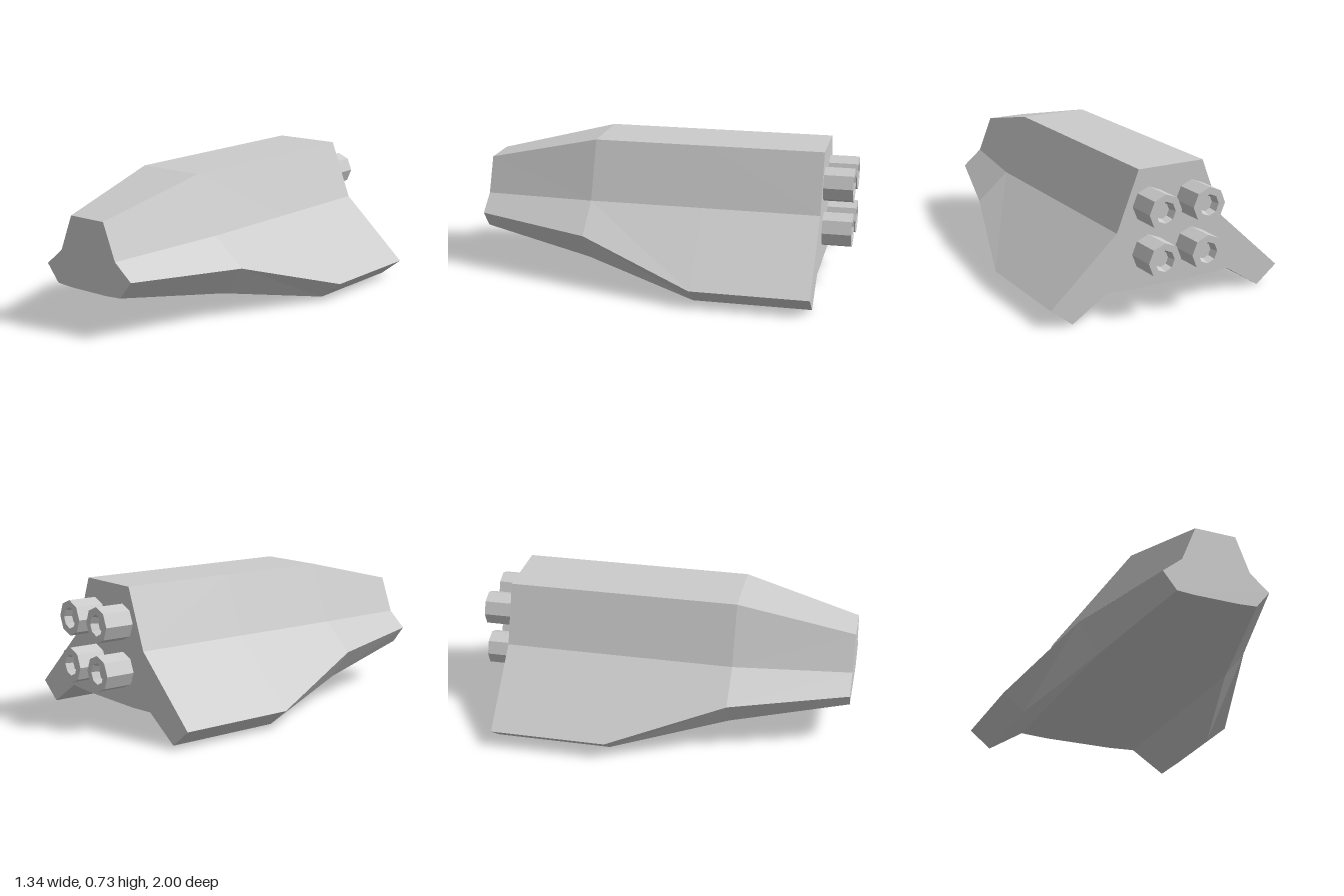
import * as THREE from 'three';

const grey = new THREE.MeshStandardMaterial({ color: 0xcccccc, flatShading: true });
const BACK = -0.845;

// Half sections from nose to stern: roof, shoulder, wing tip, wing underside, root, belly
const sections = [
  { z: 1, half: [[0.11, 0.583], [0.185, 0.395], [0.288, 0.309], [0.215, 0.218], [0.215, 0.218], [0.12, 0.212]] },
  { z: 0.38, half: [[0.185, 0.732], [0.305, 0.425], [0.475, 0.28], [0.358, 0.127], [0.358, 0.127], [0.2, 0.119]] },
  { z: -0.23, half: [[0.185, 0.732], [0.305, 0.425], [0.668, 0.095], [0.55, 0.002], [0.358, 0.127], [0.2, 0.119]] },
  { z: BACK, half: [[0.185, 0.732], [0.305, 0.425], [0.668, 0.095], [0.55, 0.002], [0.358, 0.127], [0.2, 0.119]] },
];

// Mirrors a half section into a closed outline
const outline = (half) => [...half, ...half.map(([x, y]) => [-x, y]).reverse()];

function hullGeometry() {
  const rings = sections.map((s) => outline(s.half).map(([x, y]) => [x, y, s.z]));
  const positions = [];
  for (let k = 0; k < rings.length - 1; k++) {
    const n = rings[k].length;
    for (let i = 0; i < n; i++) {
      const j = (i + 1) % n;
      const a = rings[k][i], b = rings[k][j], c = rings[k + 1][j], d = rings[k + 1][i];
      // Split the quads the same way on both sides
      const tris = i < n / 2 ? [a, b, c, a, c, d] : [a, b, d, b, c, d];
      positions.push(...tris.flat());
    }
  }
  const g = new THREE.BufferGeometry();
  g.setAttribute('position', new THREE.Float32BufferAttribute(positions, 3));
  g.computeVertexNormals();
  return g;
}

// Flat end plate filling a section
function endPlate({ z, half }, name) {
  const unique = half.filter((p, i) => i === 0 || p[0] !== half[i - 1][0] || p[1] !== half[i - 1][1]);
  const shape = new THREE.Shape(outline(unique).map(([x, y]) => new THREE.Vector2(x, y)));
  const mesh = new THREE.Mesh(new THREE.ShapeGeometry(shape), grey);
  mesh.name = name;
  mesh.position.z = z;
  if (z < 0) mesh.rotation.y = Math.PI;
  return mesh;
}

export function createModel() {
  const model = new THREE.Group();
  model.name = 'spaceship';

  const hull = new THREE.Mesh(hullGeometry(), grey);
  hull.name = 'hull';
  model.add(hull, endPlate(sections[0], 'nosePlate'), endPlate(sections[3], 'sternPlate'));

  // Four octagonal thrusters with recessed openings
  const profile = [[0.092, 0], [0.092, 0.155], [0.055, 0.155], [0.042, 0.115], [0, 0.115]]
    .map(([r, h]) => new THREE.Vector2(r, h));
  const thruster = new THREE.LatheGeometry(profile, 8);
  for (const x of [-0.125, 0.125]) {
    for (const y of [0.301, 0.547]) {
      const mesh = new THREE.Mesh(thruster, grey);
      mesh.name = `${y > 0.4 ? 'upper' : 'lower'}${x > 0 ? 'Left' : 'Right'}Thruster`;
      mesh.rotation.x = -Math.PI / 2;
      mesh.position.set(x, y, BACK);
      model.add(mesh);
    }
  }
  return model;
}
